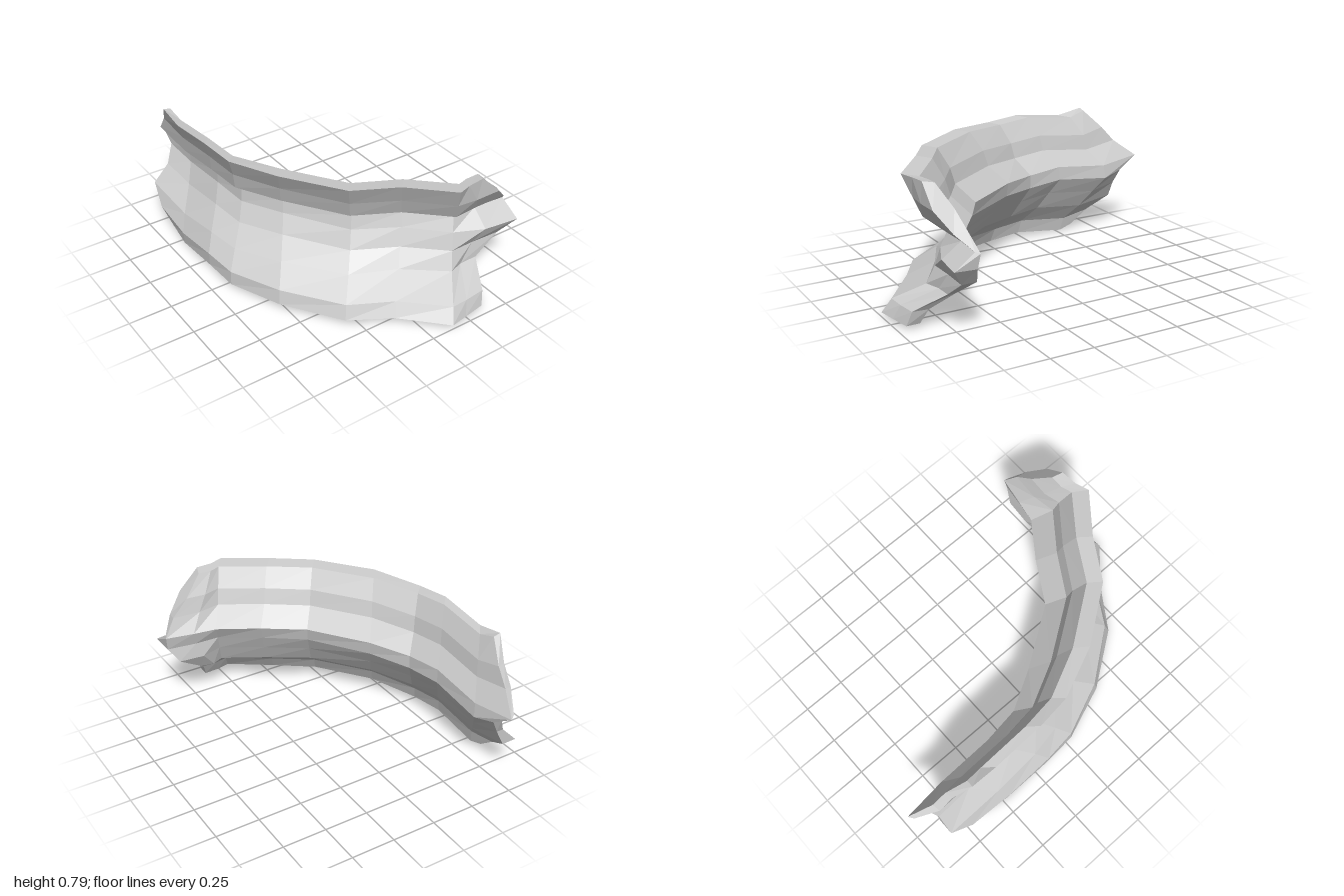
import * as THREE from 'three';

// Plan curves as [x, z]: the outer flange line and the inner ridge line
const OUTER = [[-.67, -.7], [-.68, -.45], [-.68, -.15], [-.66, .05], [-.54, .36], [-.32, .66], [-.1, .8], [.13, 1], [.25, .98], [.37, .96]];
const INNER = [[-.46, -1], [-.43, -.75], [-.43, -.42], [-.4, -.2], [-.28, .02], [-.06, .35], [.17, .49], [.38, .65], [.5, .68], [.68, .71]];
const LAST = OUTER.length - 1;
const BEND = LAST - 2; // where the crumpled front end begins

// Cross-section: [depth at back, depth at bend, depth at front end, height, z of back end, x of front end]
// Depth runs from 0 on the outer line to 1 on the inner line.
const OUTSIDE = [ // top to bottom
  [.22, .30, .40, .78, -.68, .38],
  [.43, .43, .40, .66, -.78, .50],
  [.48, .54, .64, .56, -.86, .60],
  [.82, .82, .95, .48, -.98, .67],
  [.85, .74, .48, .40, -.90, .68],
  [.60, .67, .76, .30, -.86, .61],
  [.14, .56, .74, .20, -.86, .46],
  [.00, .13, .10, .11, -.73, .38],
  [.07, .00, .00, .03, -.62, .36],
];
const INSIDE = [ // bottom to top
  [.28, .26, .30, .03, -.62, .36],
  [.32, .40, .45, .11, -.72, .39],
  [.56, .74, .95, .20, -.86, .46],
  [.80, .84, 1.1, .30, -.86, .61],
  [1.03, .92, 1.0, .39, -.88, .67],
  [.97, 1.02, 1.05, .47, -1.0, .68],
  [.70, .74, .92, .57, -.87, .61],
  [.64, .67, .84, .66, -.79, .51],
  [.42, .52, .64, .77, -.68, .40],
];
const PROFILE = [...OUTSIDE, ...INSIDE];
// Slight waviness of the long edges, per station
const WAVE = [0, -.03, .005, -.01, .005, 0, .012, -.005, -.008, -.005];

function stationPoint(s, k) {
  const { lerp } = THREE.MathUtils;
  const [back, bend, front, height, zBack, xFront] = PROFILE[k];
  const toEnd = [0, .7, 1][Math.max(0, s - BEND)];
  const u = s <= BEND ? lerp(back, bend, s / BEND) : lerp(bend, front, toEnd);
  const z = s === 0 ? zBack : lerp(OUTER[s][1], INNER[s][1], u);
  // Past the bend each row runs on to its own ragged end
  const x = s <= BEND
    ? lerp(OUTER[s][0], INNER[s][0], u)
    : lerp(lerp(OUTER[BEND][0], INNER[BEND][0], bend), xFront, s === LAST ? 1 : .45);
  return [x, height + WAVE[s], z];
}

export function createModel() {
  const n = PROFILE.length;
  const positions = [], indices = [];
  const id = (s, k) => s * n + (k % n);
  const quad = (a, b, c, d) => indices.push(a, b, d, b, c, d);

  for (let s = 0; s <= LAST; s++)
    for (let k = 0; k < n; k++) positions.push(...stationPoint(s, k));

  // Skin around the closed section
  for (let s = 0; s < LAST; s++)
    for (let k = 0; k < n; k++) quad(id(s, k), id(s, k + 1), id(s + 1, k + 1), id(s + 1, k));

  // Broken ends, joining the outside to the inside
  for (let k = 0; k < n / 2 - 1; k++) {
    const j = n - 1 - k;
    quad(id(LAST, k), id(LAST, k + 1), id(LAST, j - 1), id(LAST, j));
    quad(id(0, j), id(0, j - 1), id(0, k + 1), id(0, k));
  }

  const indexed = new THREE.BufferGeometry();
  indexed.setAttribute('position', new THREE.Float32BufferAttribute(positions, 3));
  indexed.setIndex(indices);
  const geometry = indexed.toNonIndexed();
  geometry.computeVertexNormals();

  const sheet = new THREE.Mesh(geometry, new THREE.MeshStandardMaterial({ color: 0xcccccc, flatShading: true }));
  sheet.name = 'bentCorrugatedStrip';
  const group = new THREE.Group();
  group.name = 'bentStrip';
  group.add(sheet);
  return group;
}
